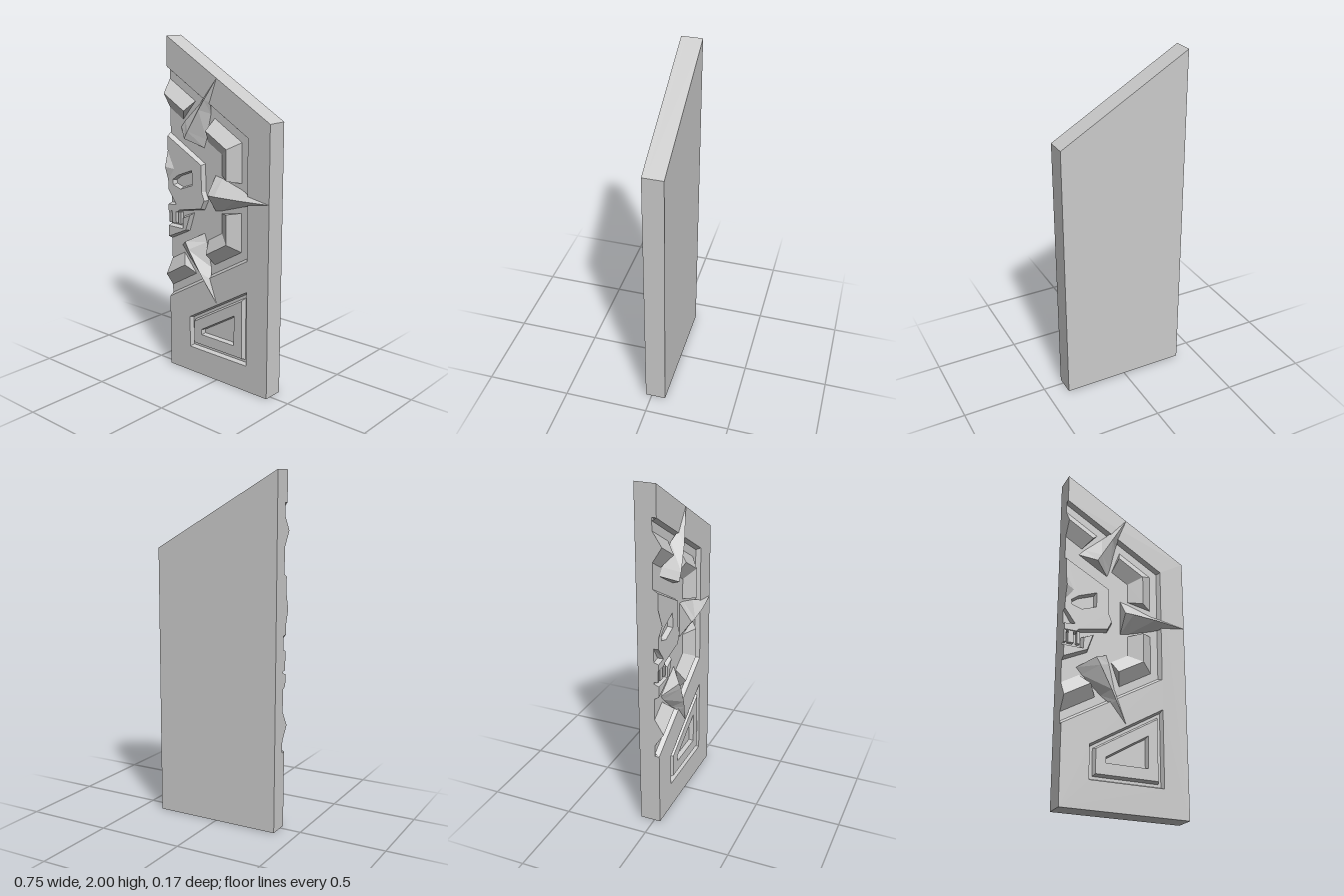
import * as THREE from 'three';

const FACE = 0.035, FLOOR = 0.01, BACK = -0.085;   // depth levels of the panel
const CX = -0.375, CY = 1.135;                     // hexagon centre on the inner edge
const material = new THREE.MeshStandardMaterial({ color: 0xcccccc, flatShading: true, side: THREE.DoubleSide });

const mesh = (name, geometry) => {
  const m = new THREE.Mesh(geometry, material);
  m.name = name;
  return m;
};
const toShape = (pts, holes = []) => {
  const v = (list) => list.map(([x, y]) => new THREE.Vector2(x, y));
  const s = new THREE.Shape(v(pts));
  holes.forEach((h) => s.holes.push(new THREE.Path(v(h))));
  return s;
};
const fromTriangles = (tris) => {
  const g = new THREE.BufferGeometry();
  g.setAttribute('position', new THREE.Float32BufferAttribute(tris.flat(2), 3));
  g.computeVertexNormals();
  return g;
};
const slab = (pts, z0, z1, holes) =>
  new THREE.ExtrudeGeometry(toShape(pts, holes), { depth: z1 - z0, bevelEnabled: false }).translate(0, 0, z0);

// Moves each edge of a counter-clockwise polygon inwards; the panel's inner edge stays put
function inset(pts, d) {
  const n = pts.length;
  const normal = (a, b) => {
    const l = Math.hypot(b[0] - a[0], b[1] - a[1]);
    return [-(b[1] - a[1]) / l, (b[0] - a[0]) / l];
  };
  return pts.map((p, i) => {
    const u = normal(pts[(i + n - 1) % n], p), v = normal(p, pts[(i + 1) % n]);
    const k = d / Math.max(0.4, 1 + u[0] * v[0] + u[1] * v[1]);
    return [p[0] === CX ? CX : p[0] + k * (u[0] + v[0]), p[1] + k * (u[1] + v[1])];
  });
}

// Sloping wall between two matching outlines
function wall(outer, zo, inner, zi, closed = true) {
  const tris = [], n = outer.length;
  for (let i = 0; i < (closed ? n : n - 1); i++) {
    const j = (i + 1) % n;
    const a = [...outer[i], zo], b = [...outer[j], zo], c = [...inner[j], zi], d = [...inner[i], zi];
    tris.push([a, b, c], [a, c, d]);
  }
  return fromTriangles(tris);
}

// Raised plate with sloping sides and sunken holes
function relief(name, pts, z, bevel, holes = []) {
  const g = new THREE.Group();
  g.name = name;
  const top = inset(pts, bevel);
  g.add(mesh(name + 'Face', new THREE.ShapeGeometry(toShape(top, holes)).translate(0, 0, z)));
  g.add(mesh(name + 'Sides', wall(pts, FLOOR, top, z)));
  holes.forEach((h) => g.add(mesh(name + 'HoleWall', wall(h, z, inset(h, 0.008), FLOOR))));
  return g;
}

// Closed solid through equal cross-sections, turned so that it faces outwards
function loft(sections) {
  const tris = [], n = sections[0].length, last = sections.length - 1;
  for (let s = 0; s < last; s++) for (let i = 0; i < n; i++) {
    const j = (i + 1) % n, A = sections[s], B = sections[s + 1];
    tris.push([A[i], A[j], B[j]], [A[i], B[j], B[i]]);
  }
  for (let i = 1; i < n - 1; i++) {
    tris.push([sections[0][0], sections[0][i + 1], sections[0][i]]);
    tris.push([sections[last][0], sections[last][i], sections[last][i + 1]]);
  }
  const V = (p) => new THREE.Vector3(p[0] - CX, p[1] - CY, p[2]);
  const volume = tris.reduce((t, [a, b, c]) => t + V(a).dot(V(b).cross(V(c))), 0);
  return fromTriangles(volume < 0 ? tris.map(([a, b, c]) => [a, c, b]) : tris);
}

// Point at distance a along hexagon side direction k and t across it
const polar = (k, a, t, z) => {
  const c = Math.cos(k * Math.PI / 3), s = Math.sin(k * Math.PI / 3);
  return [CX + a * c - t * s, CY + a * s + t * c, z];
};
const hexHalf = (apothem) => {
  const r = apothem / Math.cos(Math.PI / 6);
  return [[CX, CY - r], [CX + apothem, CY - r / 2], [CX + apothem, CY + r / 2], [CX, CY + r]];
};

// Three-sided spike: distance, half width, ridge height, foot height
const spike = (k) => loft([
  [0.349, 0.103, 0.083, FLOOR], [0.4, 0.093, 0.083, FLOOR], [0.545, 0.048, 0.07, FLOOR],
  [0.61, 0.028, 0.06, 0.03], [0.748, 0.001, 0.036, 0.034],
].map(([a, w, z, foot]) => [polar(k, a, -w, foot), polar(k, a, 0, z), polar(k, a, w, foot)]));

// Ridge bar sections: outer foot, crest, inner foot
const BAR = [[0.54, 0.084, FLOOR], [0.47, 0.095, 0.063], [0.395, 0.11, FLOOR]];
const barEnd = (k, side) => BAR.map(([a, t, z]) => polar(k, a, side * t, z));
const barCorner = (k) => BAR.map(([a, , z]) => polar(k, a, a * Math.tan(Math.PI / 6), z));

export function createModel() {
  const model = new THREE.Group();
  model.name = 'doorPanel';

  // Panel with the half-hexagon recess and the lower trapezoid recess
  const outline = [[CX, 0], [0.375, 0], [0.375, 1.57], [CX, 2]];
  const recess = hexHalf(0.6);
  const trapezoid = [[-0.212, 0.158], [0.226, 0.158], [0.226, 0.608], [-0.212, 0.35]];
  model.add(mesh('panelBack', slab(outline, BACK, FLOOR)));
  model.add(mesh('panelFront', slab([...outline, ...[...recess].reverse()], FLOOR, FACE, [trapezoid])));
  model.add(mesh('hexagonRim', wall(recess, FACE, hexHalf(0.585), FLOOR, false)));
  model.add(mesh('trapezoidRim', wall(trapezoid, FACE, inset(trapezoid, 0.01), FLOOR)));

  // Raised trapezoid plate with a smaller sunken one
  model.add(relief('trapezoidPlate', inset(trapezoid, 0.026), FACE, 0.01,
    [[[-0.118, 0.258], [0.132, 0.258], [0.132, 0.442], [-0.118, 0.292]]]));

  // Spikes
  [-1, 0, 1].forEach((k) => model.add(mesh('spike', spike(k))));

  // Ridge bars between the spikes, the outer two ending at the panel edge
  [-1, 0].forEach((k) =>
    model.add(mesh('ridgeBar', loft([barEnd(k, 1), barCorner(k), barEnd(k + 1, -1)]))));
  model.add(mesh('ridgeBarTop', loft([barEnd(1, 1), barCorner(1)])));
  model.add(mesh('ridgeBarBottom', loft([barCorner(-2), barEnd(-1, -1)])));

  // Half skull with an eye socket and a nose notch
  const skullZ = 0.038;
  model.add(relief('skull', [
    [CX, 0.975], [-0.3, 0.975], [-0.285, 0.99], [-0.11, 1.025], [-0.08, 1.085], [-0.1, 1.135],
    [-0.104, 1.295], [CX, 1.448], [CX, 1.11], [-0.328, 1.036], [CX, 1.03],
  ], skullZ, 0.01, [
    [[-0.275, 1.127], [-0.185, 1.16], [-0.185, 1.25], [-0.295, 1.207], [-0.338, 1.175], [-0.333, 1.145]],
  ]));
  model.add(relief('jaw', [
    [CX, 0.808], [-0.228, 0.88], [-0.19, 0.995], [-0.268, 0.962], [-0.27, 0.9], [CX, 0.9],
  ], skullZ, 0.01));
  [[CX, -0.362], [-0.35, -0.318], [-0.298, -0.28]].forEach(([a, b]) =>
    model.add(mesh('tooth', slab([[a, 0.912], [b, 0.912], [b, 0.985], [a, 0.985]], FLOOR, skullZ - 0.004))));

  // Pointed brow on the skull's middle line
  const brow = [[CX, 1.34, skullZ], [-0.325, 1.24, skullZ], [CX, 1.17, skullZ]], peak = [CX, 1.25, 0.062];
  model.add(mesh('brow', fromTriangles([
    [brow[0], peak, brow[1]], [brow[1], peak, brow[2]], [brow[2], peak, brow[0]],
  ])));

  // Centre the depth
  const box = new THREE.Box3().setFromObject(model);
  model.position.z = -(box.min.z + box.max.z) / 2;
  return model;
}
